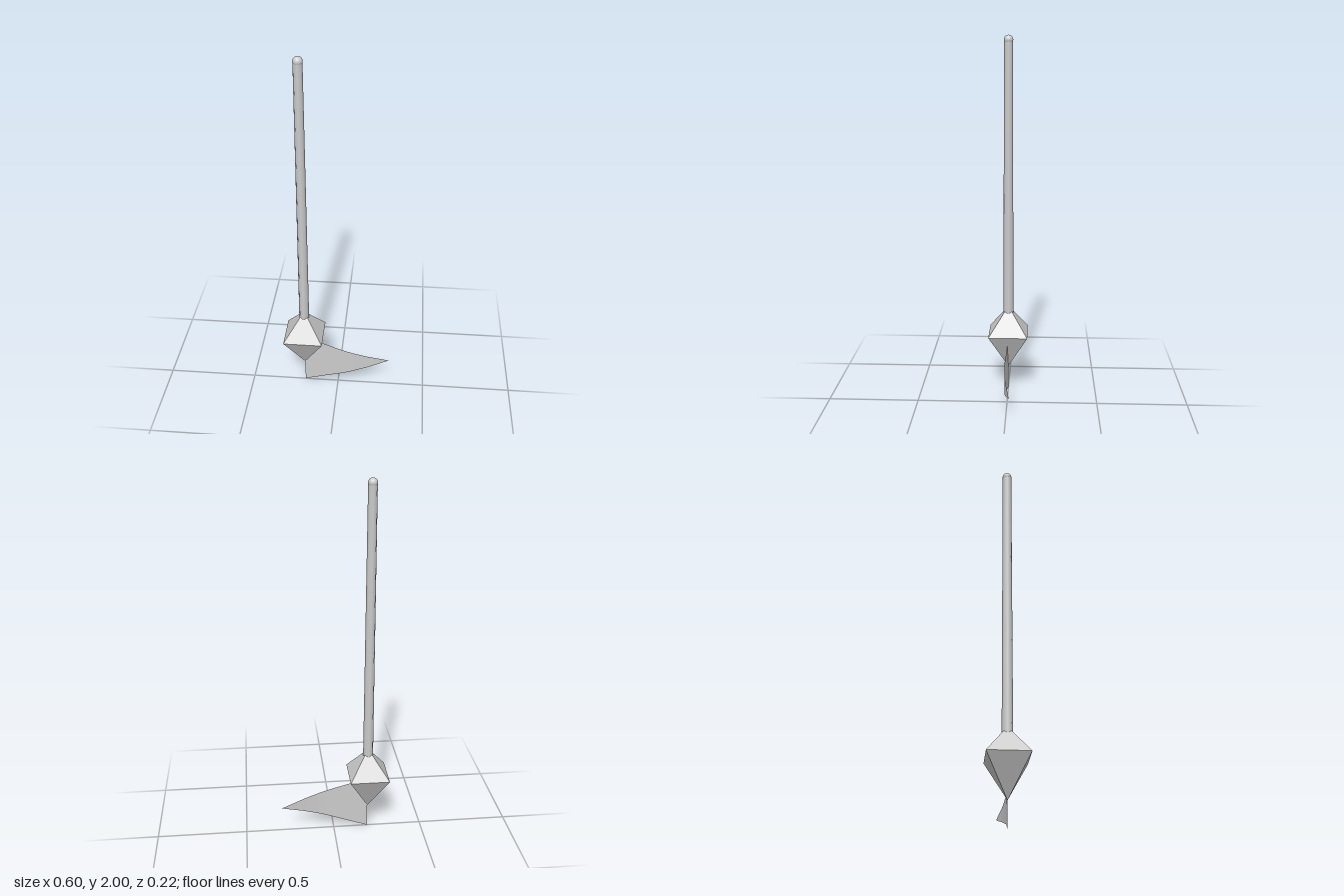
import * as THREE from 'three';

const AXIS_X = -0.193;

export function createModel() {
  const group = new THREE.Group();
  const smooth = new THREE.MeshStandardMaterial({ color: 0xcccccc });
  const flat = new THREE.MeshStandardMaterial({ color: 0xcccccc, flatShading: true });
  const cloth = new THREE.MeshStandardMaterial({ color: 0xcccccc, side: THREE.DoubleSide });

  const add = (name, geometry, material, x, y) => {
    const mesh = new THREE.Mesh(geometry, material);
    mesh.name = name;
    mesh.position.set(x, y, 0);
    group.add(mesh);
    return mesh;
  };

  // Slightly tapered eight-sided shaft with a round cap
  add('shaft', new THREE.CylinderGeometry(0.024, 0.028, 1.535, 8), smooth, AXIS_X, 1.2075);
  add('shaftCap', new THREE.SphereGeometry(0.025, 24, 16), smooth, AXIS_X, 1.975);

  // Diamond head: two square pyramids sharing a base
  const corner = 0.109 * Math.SQRT2;
  const head = new THREE.LatheGeometry([
    new THREE.Vector2(0, 0.135),
    new THREE.Vector2(corner, 0.345),
    new THREE.Vector2(0, 0.5),
  ], 4, Math.PI / 4);
  add('diamondHead', head, flat, AXIS_X, 0);

  // Pennant: a triangle tapering to its tip, rippling along its length
  const length = 0.489;
  const ripple = new THREE.SplineCurve([
    [0, 0], [0.25, 0.006], [0.5, 0.013], [0.75, 0.002], [1, -0.02],
  ].map(([t, z]) => new THREE.Vector2(t, z)));
  const pennant = new THREE.PlaneGeometry(1, 1, 16, 4);
  const pos = pennant.attributes.position;
  for (let i = 0; i < pos.count; i++) {
    const t = pos.getX(i) + 0.5;
    const y = 0.157 + pos.getY(i) * 0.312 * (1 - t);
    pos.setXYZ(i, t * length, y, ripple.getPoint(t).y);
  }
  pennant.computeVertexNormals();
  add('pennant', pennant, cloth, AXIS_X, 0);

  return group;
}
